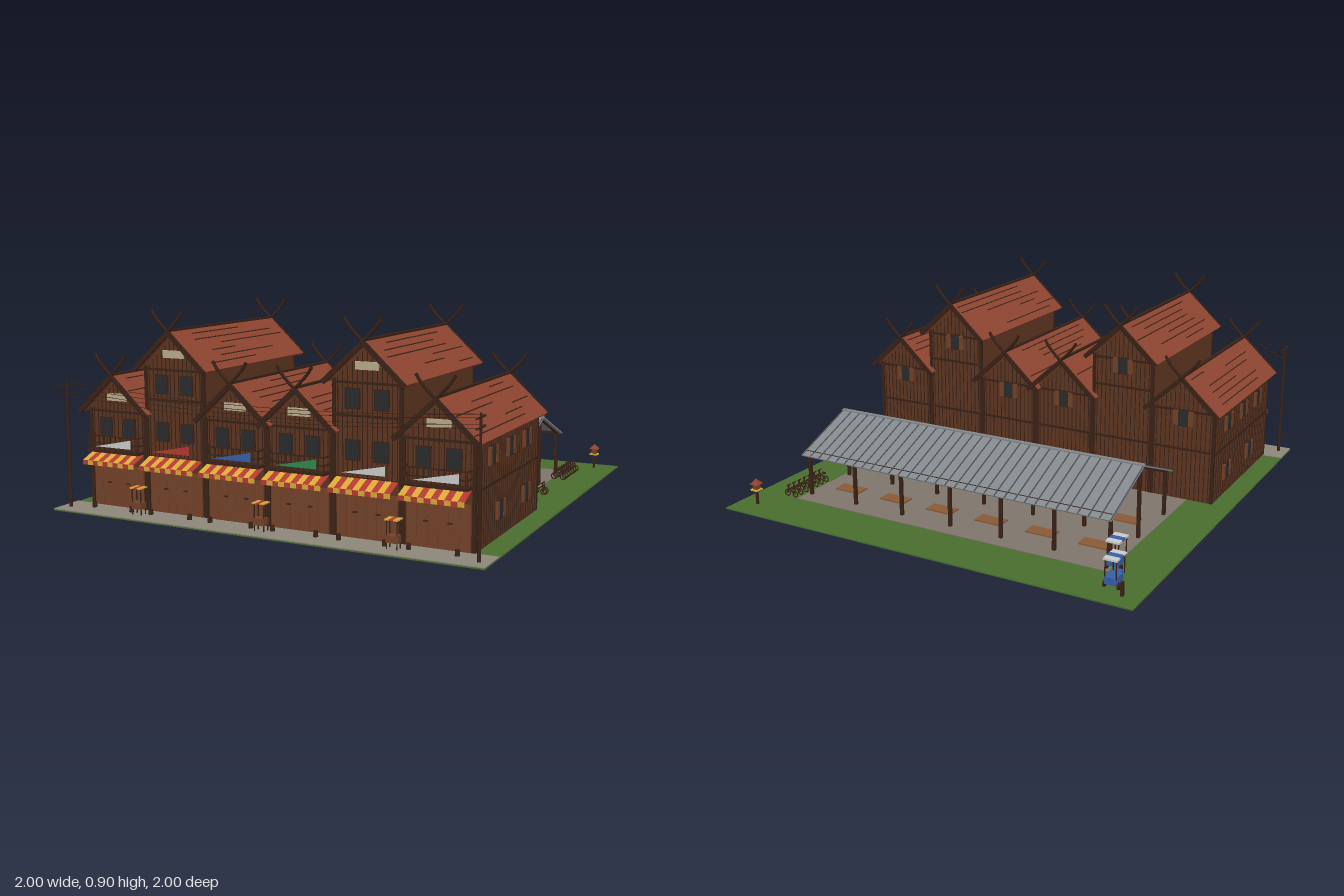
import * as THREE from 'three';

const C = {
  wall: 0x5e3521, dark: 0x3a2217, door: 0x734228, roof: 0x8e4530, grass: 0x4a6e2f, pave: 0x8d867b,
  slab: 0x7f766c, metal: 0x83888c, rib: 0x4c5054, red: 0xb23a32, yellow: 0xd9a838, glass: 0x2a2b2d,
  sign: 0xb9ab8c, white: 0xdddddd, blue: 0x3560a8, green: 0x2f8a4a, mat: 0x8a5a36, water: 0x4f8f96,
};
const mats = {};
const mat = (c) => (mats[c] ??= new THREE.MeshStandardMaterial({ color: c, side: THREE.DoubleSide }));
let seed = 7;
const rnd = () => (seed = (seed * 16807) % 2147483647) / 2147483647;

function add(parent, name, geo, color, x = 0, y = 0, z = 0) {
  const m = new THREE.Mesh(geo, mat(color));
  m.name = name;
  m.position.set(x, y, z);
  parent.add(m);
  return m;
}
const box = (p, name, c, w, h, d, x, y, z) => add(p, name, new THREE.BoxGeometry(w, h, d), c, x, y, z);
// Straight board between two points of the xy plane
function bar(p, name, c, x1, y1, x2, y2, t, z, d) {
  const m = box(p, name, c, Math.hypot(x2 - x1, y2 - y1), t, d, (x1 + x2) / 2, (y1 + y2) / 2, z);
  m.rotation.z = Math.atan2(y2 - y1, x2 - x1);
  return m;
}
function group(parent, name, x = 0, y = 0, z = 0) {
  const g = new THREE.Group();
  g.name = name;
  g.position.set(x, y, z);
  parent.add(g);
  return g;
}
const tube = (p, name, c, pts, r) => add(p, name, new THREE.TubeGeometry(
  new THREE.CatmullRomCurve3(pts.map((q) => new THREE.Vector3(...q))), 12, r, 5), c);

// Window facing +z, with optional open shutters
function windowUnit(p, x, y, z, w, h, shutters) {
  const g = group(p, 'window', x, y, z);
  box(g, 'windowFrame', C.dark, w + 0.01, h + 0.01, 0.006, 0, 0, 0);
  box(g, 'windowPane', C.glass, w, h, 0.01, 0, 0, 0);
  if (shutters) for (const s of [-1, 1]) box(g, 'shutter', C.door, w * 0.5, h, 0.01, s * w * 0.8, 0, 0.002);
  return g;
}

function awning(p) {
  const n = 10, w = 0.27 / n;
  for (let i = 0; i < n; i++) {
    const x = -0.135 + (i + 0.5) * w;
    const top = box(p, 'awningStripe', i % 2 ? C.red : C.yellow, w, 0.004, 0.088, x, 0.246, 0.886);
    top.rotation.x = 0.38;
    box(p, 'awningValance', i % 2 ? C.yellow : C.red, w, 0.02, 0.004, x, 0.222, 0.926);
  }
}

function balcony(p) {
  box(p, 'balconyFloor', C.dark, 0.27, 0.012, 0.05, 0, 0.27, 0.868);
  for (const y of [0.305, 0.338]) {
    box(p, 'balconyRail', C.dark, 0.27, 0.006, 0.006, 0, y, 0.89);
    for (const s of [-1, 1]) box(p, 'sideRail', C.dark, 0.006, 0.006, 0.045, s * 0.132, y, 0.868);
  }
  for (let i = 0; i < 10; i++) box(p, 'baluster', C.dark, 0.004, 0.065, 0.004, -0.132 + i * 0.0293, 0.305, 0.89);
}

function house(root, x, tall, flagColor) {
  const g = group(root, 'house', x);
  const top = tall ? 0.81 : 0.608, eave = top - 0.168, run = 0.176, side = eave + 0.012;
  const s = new THREE.Shape();
  [[-0.151, 0.018], [0.151, 0.018], [0.151, side], [0, top - 0.013], [-0.151, side]]
    .forEach(([a, b], i) => (i ? s.lineTo(a, b) : s.moveTo(a, b)));
  add(g, 'walls', new THREE.ExtrudeGeometry(s, { depth: 0.755, bevelEnabled: false }), C.wall, 0, 0, 0.09);
  // Roof slopes with dark tile seams, gable boards and crossed horns
  for (const k of [-1, 1]) {
    bar(g, 'roofSlope', C.roof, 0, top - 0.006, k * run, eave, 0.012, 0.465, 0.84);
    for (let i = 1; i < 7; i++) {
      const t = i / 7, len = 0.15 + rnd() * 0.5;
      const seam = box(g, 'tileSeam', C.dark, 0.005, 0.003, len, k * run * t, top + 0.002 - 0.162 * t, 0.885 - len / 2 - rnd() * (0.84 - len));
      seam.rotation.z = -k * 0.75;
    }
    for (const z of [0.045, 0.887]) {
      bar(g, 'gableBoard', C.dark, 0, top - 0.008, k * run, eave - 0.002, 0.02, z, 0.01);
      tube(g, 'gableHorn', C.dark, [[-k * 0.012, top - 0.015, z], [k * 0.035, top + 0.03, z], [k * 0.062, top + 0.06, z], [k * 0.08, top + 0.088, z]], 0.007);
    }
    box(g, 'cornerPost', C.dark, 0.014, side - 0.02, 0.014, k * 0.145, side / 2 + 0.01, 0.845);
    box(g, 'cornerPost', C.dark, 0.014, side - 0.02, 0.014, k * 0.145, side / 2 + 0.01, 0.09);
  }
  box(g, 'ridgeCap', C.dark, 0.014, 0.01, 0.84, 0, top, 0.465);
  // Vertical battens on both gable ends
  for (let i = -6; i <= 6; i++) {
    const bx = i * 0.0215, h = top - 0.025 - Math.abs(bx) * 0.95;
    box(g, 'backBatten', C.dark, 0.003, h - 0.02, 0.004, bx, h / 2 + 0.01, 0.089);
    box(g, 'frontBatten', C.dark, 0.003, h - 0.26, 0.004, bx, h / 2 + 0.13, 0.846);
  }
  for (const z of [0.09, 0.845]) for (const y of tall ? [0.26, 0.51, 0.64] : [0.26, 0.442])
    box(g, 'floorBeam', C.dark, 0.302, 0.01, 0.012, 0, y, z);
  // Shopfront folding doors
  for (let i = 0; i < 6; i++) box(g, 'foldingDoor', C.door, 0.043, 0.185, 0.008, -0.11 + i * 0.044, 0.112, 0.847);
  for (const k of [-1, 1]) {
    box(g, 'doorHandle', C.dark, 0.018, 0.006, 0.008, k * 0.05, 0.125, 0.853);
    windowUnit(g, k * 0.063, 0.373, 0.849, 0.055, 0.075);
    if (tall) windowUnit(g, k * 0.063, 0.577, 0.849, 0.055, 0.075);
  }
  const back = windowUnit(g, 0, top - 0.2, 0.086, 0.045, 0.07, true);
  back.rotation.y = Math.PI;
  box(g, 'gablePanel', C.sign, 0.1, 0.032, 0.01, 0, top - 0.102, 0.85);
  awning(g);
  if (!tall) balcony(g);
  // Pointed banner
  const f = new THREE.Shape([[-0.09, -0.018], [0.1, -0.018], [0.1, 0.022]].map((q) => new THREE.Vector2(...q)));
  add(g, 'banner', new THREE.ShapeGeometry(f), flagColor, 0, 0.308, 0.895);
}

function sideWall(root, s) {
  const g = group(root, 'sideWallDetails', s * 0.906);
  g.rotation.y = s * Math.PI / 2;
  // local x runs along -s*z
  for (let i = 0; i <= 30; i++) box(g, 'sideBatten', C.dark, 0.003, 0.41, 0.004, -s * (0.1 + i * 0.0245), 0.225, 0);
  box(g, 'sideBeam', C.dark, 0.755, 0.01, 0.01, -s * 0.467, 0.255, 0);
  for (const z of [0.257, 0.465, 0.674]) windowUnit(g, -s * z, 0.368, 0.003, 0.045, 0.07, true);
  for (const z of [0.257, 0.578]) windowUnit(g, -s * z, 0.133, 0.003, 0.045, 0.07, true);
}

function pavilion(root) {
  const g = group(root, 'openPavilion', 0, 0, -0.405);
  const r = group(g, 'metalRoof');
  r.rotation.y = Math.PI / 2;
  for (const k of [-1, 1]) {
    bar(r, 'roofSheet', C.metal, 0, 0.343, k * 0.318, 0.216, 0.006, 0, 1.56);
    for (let i = 0; i <= 32; i++) bar(r, 'roofRib', C.rib, 0, 0.346, k * 0.318, 0.219, 0.006, -0.776 + i * 0.0485, 0.005);
    box(g, 'eaveBeam', C.dark, 1.54, 0.014, 0.012, 0, 0.226, k * 0.282);
  }
  box(g, 'ridgeCap', C.metal, 1.56, 0.006, 0.02, 0, 0.348, 0);
  for (let i = 0; i < 7; i++) {
    const x = -0.76 + i * 0.2533;
    for (const z of [-0.282, 0, 0.282]) box(g, 'post', C.dark, 0.014, z ? 0.21 : 0.32, 0.014, x, z ? 0.123 : 0.178, z);
    for (const k of [-1, 1]) {
      bar(r, 'rafter', C.dark, 0, 0.336, k * 0.3, 0.215, 0.008, x, 0.01);
      if (i < 6) box(g, 'floorMat', C.mat, 0.13, 0.006, 0.07, x + 0.127, 0.022, k * 0.15);
    }
  }
}

function wheel(p, x, y, z, r) {
  add(p, 'wheel', new THREE.TorusGeometry(r, 0.003, 5, 12), C.dark, x, y, z);
}
function bicycle(root, x, z) {
  const g = group(root, 'bicycle', x, 0.018, z);
  for (const k of [-1, 1]) wheel(g, k * 0.022, 0.017, 0, 0.014);
  bar(g, 'frame', C.dark, -0.022, 0.017, 0.016, 0.042, 0.005, 0, 0.005);
  bar(g, 'fork', C.dark, 0.022, 0.017, 0.014, 0.056, 0.005, 0, 0.005);
  box(g, 'handlebar', C.dark, 0.004, 0.004, 0.024, 0.014, 0.056, 0);
  box(g, 'saddle', C.dark, 0.018, 0.007, 0.01, -0.012, 0.045, 0);
}
function taxi(root, x, z) {
  const g = group(root, 'threeWheelTaxi', x, 0.018, z);
  box(g, 'body', C.blue, 0.05, 0.03, 0.07, 0, 0.035, -0.008);
  box(g, 'nose', C.blue, 0.025, 0.03, 0.025, 0, 0.035, 0.038);
  for (let i = -1; i <= 1; i++) box(g, 'canopy', i ? C.white : C.blue, 0.06, 0.008, 0.031, 0, 0.125, i * 0.031);
  for (const k of [-1, 1]) {
    for (const d of [-0.038, 0.038]) box(g, 'canopyPost', C.dark, 0.004, 0.08, 0.004, k * 0.024, 0.084, d);
    const w = add(g, 'wheel', new THREE.CylinderGeometry(0.014, 0.014, 0.008, 12), C.dark, k * 0.03, 0.014, -0.025);
    w.rotation.z = Math.PI / 2;
  }
  const w = add(g, 'frontWheel', new THREE.CylinderGeometry(0.014, 0.014, 0.008, 12), C.dark, 0, 0.014, 0.04);
  w.rotation.z = Math.PI / 2;
}

export function createModel() {
  const root = new THREE.Group();
  seed = 7;
  // Ground, street pavement and yard
  box(root, 'grass', C.grass, 2, 0.006, 2, 0, 0.012, 0);
  box(root, 'pavement', C.pave, 2, 0.004, 0.16, 0, 0.016, 0.92);
  box(root, 'yardFloor', C.slab, 1.57, 0.004, 0.85, 0, 0.016, -0.335);

  const flags = [C.white, C.red, C.blue, C.green, C.white, C.white];
  flags.forEach((f, i) => house(root, -0.755 + i * 0.302, i === 1 || i === 4, f));
  for (const s of [-1, 1]) sideWall(root, s);
  pavilion(root);

  // Utility poles and sagging wires
  for (const k of [-1, 1]) {
    const g = group(root, 'utilityPole', k * 0.955, 0, 0.94);
    add(g, 'pole', new THREE.CylinderGeometry(0.005, 0.008, 0.575, 8), C.dark, 0, 0.2875, 0);
    for (const y of [0.52, 0.558]) box(g, 'crossArm', C.dark, 0.006, 0.006, 0.1, 0, y, 0);
  }
  for (const z of [0.895, 0.985]) for (const y of [0.525, 0.563])
    tube(root, 'wire', C.dark, [[-0.955, y, z], [-0.5, y - 0.03, z], [0, y - 0.042, z], [0.5, y - 0.03, z], [0.955, y, z]], 0.0012);

  // Street carts and stools
  for (const x of [-0.6, 0.01, 0.6]) {
    const g = group(root, 'streetCart', x, 0.018, 0.92);
    box(g, 'counter', C.door, 0.05, 0.03, 0.035, 0, 0.04, 0);
    for (const a of [-1, 1]) for (const b of [-1, 1]) box(g, 'cartPost', C.dark, 0.004, 0.115, 0.004, a * 0.022, 0.058, b * 0.015);
    for (let i = -1; i <= 1; i++) box(g, 'cartRoof', i ? C.yellow : C.red, 0.019, 0.005, 0.05, i * 0.019, 0.117, 0);
  }
  for (let i = 0; i < 6; i++) for (const k of [-1, 1]) {
    const x = -0.755 + i * 0.302 + k * 0.1;
    add(root, 'stool', new THREE.CylinderGeometry(0.009, 0.011, 0.025, 8), C.dark, x, 0.03, 0.9);
  }

  // Water tub behind the houses
  const tub = group(root, 'waterTub', -0.005, 0, 0.03);
  add(tub, 'tubWall', new THREE.CylinderGeometry(0.052, 0.042, 0.053, 6, 1, true), C.door, 0, 0.045, 0);
  add(tub, 'water', new THREE.CylinderGeometry(0.046, 0.046, 0.004, 6), C.water, 0, 0.06, 0);

  // Yard vehicles
  for (let i = 0; i < 7; i++) bicycle(root, 0.82, -0.76 + i * 0.037);
  for (const z of [-0.215, -0.19]) bicycle(root, 0.83, z);
  taxi(root, -0.86, -0.86);
  taxi(root, -0.8, -0.71);

  // Small shrine on a post
  const shrine = group(root, 'shrine', 0.9, 0.018, -0.9);
  box(shrine, 'shrinePost', C.dark, 0.01, 0.07, 0.01, 0, 0.035, 0);
  box(shrine, 'shrineFloor', C.yellow, 0.04, 0.006, 0.04, 0, 0.07, 0);
  box(shrine, 'shrineRoom', C.door, 0.024, 0.025, 0.024, 0, 0.085, 0);
  const cap = add(shrine, 'shrineRoof', new THREE.ConeGeometry(0.03, 0.025, 4), C.roof, 0, 0.11, 0);
  cap.rotation.y = Math.PI / 4;
  box(root, 'markerPost', C.dark, 0.012, 0.06, 0.012, -0.92, 0.045, -0.92);
  return root;
}
